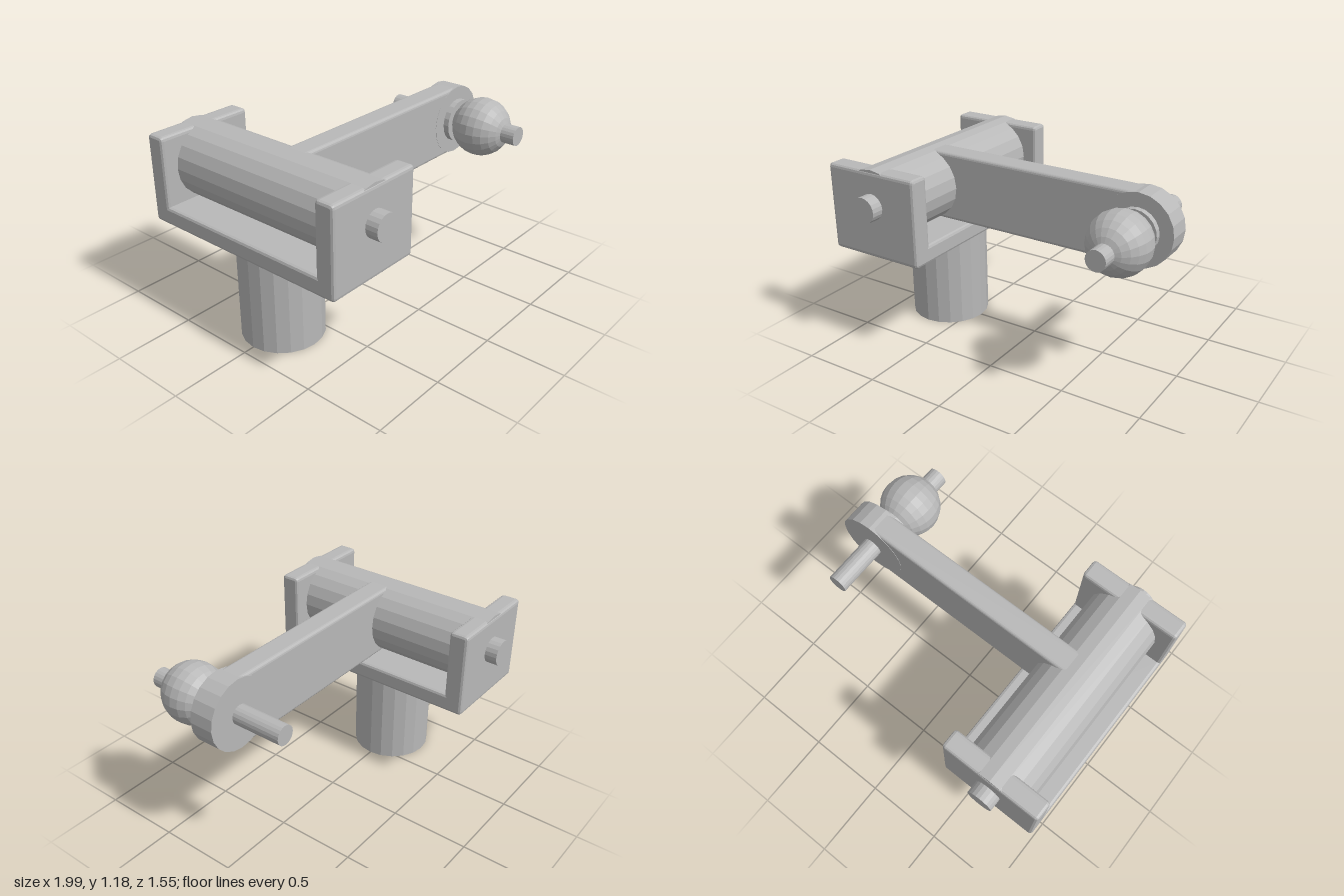
import * as THREE from 'three';
import { RoundedBoxGeometry } from 'three/addons/geometries/RoundedBoxGeometry.js';

const PIVOT_X = -0.68, HANDLE_X = 0.775, AXIS_Y = 0.955, SIDES = 20;

export function createModel() {
  const model = new THREE.Group();
  const metal = new THREE.MeshStandardMaterial({ color: 0xb8b8b8, flatShading: true });
  metal.name = 'grey metal';

  const add = (name, geometry, x, y, z) => {
    const mesh = new THREE.Mesh(geometry, metal);
    mesh.name = name;
    mesh.position.set(x, y, z);
    model.add(mesh);
  };

  // Cylinder lying along z between two depths
  const rod = (name, x, radius, z0, z1) => {
    const geometry = new THREE.CylinderGeometry(radius, radius, z1 - z0, SIDES).rotateX(Math.PI / 2);
    add(name, geometry, x, AXIS_Y, (z0 + z1) / 2);
  };

  // Upright post
  add('post', new THREE.CylinderGeometry(0.252, 0.252, 0.65, SIDES), PIVOT_X, 0.325, 0);

  // U-shaped bracket: profile with softened outer corners, bevelled along x
  const w = 0.697, inner = 0.575, bottom = 0.628, floor = 0.74, top = 1.17, r = 0.024, b = 0.018;
  const u = new THREE.Shape();
  u.moveTo(-w + r, bottom);
  u.lineTo(w - r, bottom);
  u.quadraticCurveTo(w, bottom, w, bottom + r);
  u.lineTo(w, top - r);
  u.quadraticCurveTo(w, top, w - r, top);
  u.lineTo(inner + r, top);
  u.quadraticCurveTo(inner, top, inner, top - r);
  u.lineTo(inner, floor);
  u.lineTo(-inner, floor);
  u.lineTo(-inner, top - r);
  u.quadraticCurveTo(-inner, top, -inner - r, top);
  u.lineTo(-w + r, top);
  u.quadraticCurveTo(-w, top, -w, top - r);
  u.lineTo(-w, bottom + r);
  u.quadraticCurveTo(-w, bottom, -w + r, bottom);
  const width = 0.636;
  const bracket = new THREE.ExtrudeGeometry(u, {
    depth: width - 2 * b, curveSegments: 3,
    bevelEnabled: true, bevelThickness: b, bevelSize: b, bevelOffset: -b, bevelSegments: 2,
  });
  bracket.translate(0, 0, -(width - 2 * b) / 2).rotateY(Math.PI / 2);
  add('bracket', bracket, PIVOT_X, 0, 0);

  // Drum and the axle through it
  rod('drum', PIVOT_X, 0.226, -0.692, 0.692);
  rod('axle', PIVOT_X, 0.081, -0.775, 0.775);

  // Crank arm with a round end
  add('crankArm', new RoundedBoxGeometry(1.45, 0.436, 0.15, 2, 0.02), 0.045, AXIS_Y, 0.11);
  rod('armEnd', HANDLE_X, 0.222, 0.033, 0.187);

  // Handle: pin, collar and faceted ball
  rod('handlePin', HANDLE_X, 0.061, -0.288, 0.653);
  rod('collar', HANDLE_X, 0.138, 0.18, 0.223);
  add('ball', new THREE.SphereGeometry(0.187, SIDES, 12).rotateX(Math.PI / 2), HANDLE_X, AXIS_Y, 0.385);

  return model;
}
